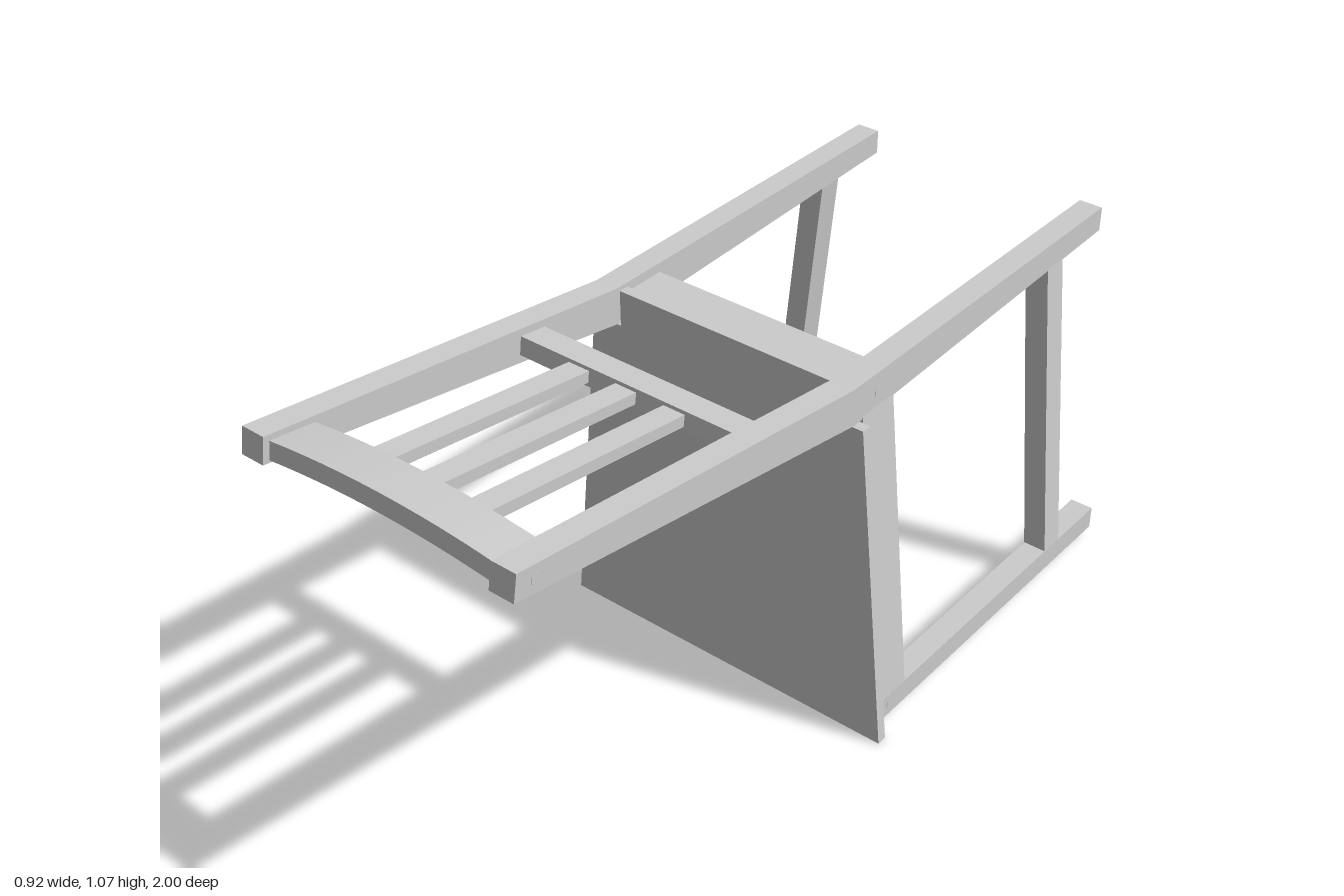
import * as THREE from 'three';

const material = new THREE.MeshStandardMaterial({ color: 0xcccccc, flatShading: true });

function addMesh(parent, name, geometry) {
  const mesh = new THREE.Mesh(geometry, material);
  mesh.name = name;
  parent.add(mesh);
  return mesh;
}

const toShape = (points) => new THREE.Shape(points.map(([a, b]) => new THREE.Vector2(a, b)));

// Outline in (x, y), extruded from z0 to z1
function frontPrism(parent, name, points, z0, z1) {
  const geometry = new THREE.ExtrudeGeometry(toShape(points), { depth: z1 - z0, bevelEnabled: false });
  return addMesh(parent, name, geometry.translate(0, 0, z0));
}

// Outline in (z, y), extruded along x and centred on the given x
function sidePrism(parent, name, points, x, width) {
  const geometry = new THREE.ExtrudeGeometry(toShape(points), { depth: width, bevelEnabled: false });
  geometry.translate(0, 0, -width / 2).rotateY(-Math.PI / 2).translate(x, 0, 0);
  return addMesh(parent, name, geometry);
}

function box(parent, name, x0, x1, y0, y1, z0, z1) {
  const geometry = new THREE.BoxGeometry(x1 - x0, y1 - y0, z1 - z0);
  return addMesh(parent, name, geometry.translate((x0 + x1) / 2, (y0 + y1) / 2, (z0 + z1) / 2));
}

export function createModel() {
  const chair = new THREE.Group();
  chair.name = 'chair';

  // Tapered seat board, notched around the rear legs
  frontPrism(chair, 'seat', [
    [-0.46, 0], [0.46, 0], [0.373, 0.835], [0.293, 0.835],
    [0.293, 0.925], [-0.293, 0.925], [-0.293, 0.835], [-0.373, 0.835],
  ], -0.034, -0.008);

  // Aprons under the front and rear of the seat
  box(chair, 'frontApron', -0.375, 0.375, 0.03, 0.078, -0.145, -0.034);
  box(chair, 'rearApron', -0.294, 0.294, 0.862, 0.912, -0.145, -0.034);

  for (const s of [1, -1]) {
    const side = new THREE.Group();
    side.name = s > 0 ? 'leftSide' : 'rightSide';
    chair.add(side);

    // Rear leg, bent at the seat and continuing as the back post
    sidePrism(side, 'rearLeg', [
      [-1, 0.875], [-0.005, 0.843], [1, 1.013], [0.989, 1.072], [0, 0.935], [-1, 0.935],
    ], s * 0.323, 0.06);
    box(side, 'frontLeg', s * 0.403 - 0.03, s * 0.403 + 0.03, 0.024, 0.084, -1, -0.034);

    // Leaning pieces joining the front leg to the rear leg
    const lean = (top) => {
      const points = [[s * 0.373, 0.08], [s * 0.433, 0.08], [s * 0.353, top], [s * 0.293, top]];
      return s > 0 ? points : points.reverse();
    };
    frontPrism(side, 'sideApron', lean(0.85), -0.145, -0.034);
    frontPrism(side, 'stretcher', lean(0.872), -0.833, -0.767);

    // Round pegs at the joints
    for (const [x, y, z] of [[0.353, 1.034, 0.943], [0.353, 0.887, -0.088], [0.433, 0.055, -0.088]]) {
      const peg = new THREE.CylinderGeometry(0.013, 0.013, 0.02, 20).rotateZ(Math.PI / 2);
      addMesh(side, 'peg', peg.translate(s * (x - 0.009), y, z));
    }
  }

  // Sloping backrest between the posts
  const back = new THREE.Group();
  back.name = 'backrest';
  back.position.y = 0.87;
  back.rotation.x = -Math.atan(0.148);
  chair.add(back);

  box(back, 'lowerBackRail', -0.294, 0.294, 0, 0.044, 0.243, 0.316);
  for (const x of [-0.128, 0, 0.128]) {
    box(back, 'slat', x - 0.028, x + 0.028, 0.009, 0.036, 0.31, 0.89);
  }

  // Arched top rail
  const lower = [], upper = [], steps = 16;
  for (let i = 0; i <= steps; i++) {
    const u = (i / steps) * 2 - 1;
    const y = 0.016 * (1 - u * u);
    lower.push([u * 0.294, y]);
    upper.unshift([u * 0.294, y + 0.042]);
  }
  frontPrism(back, 'topRail', [...lower, ...upper], 0.882, 0.994);

  return chair;
}
